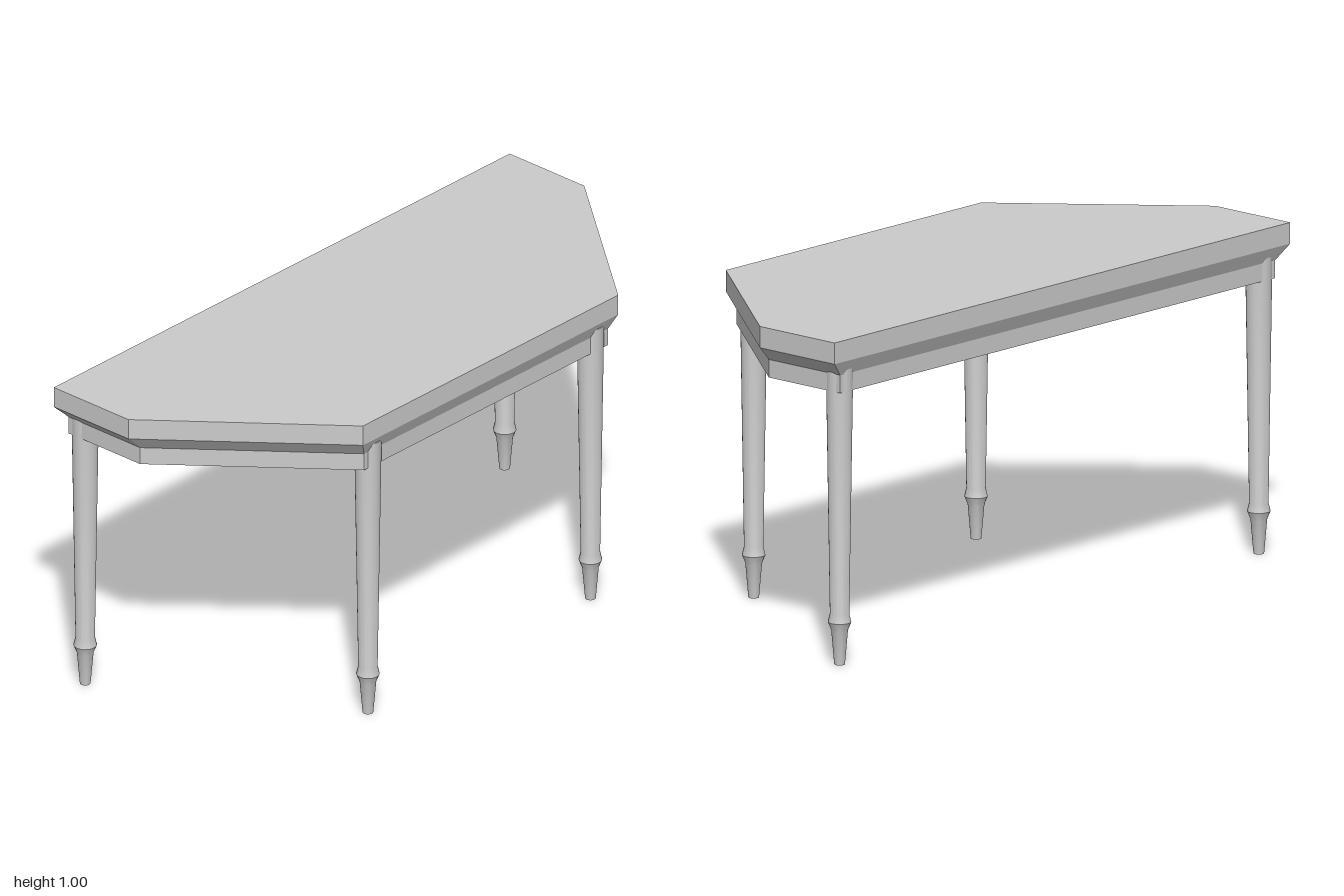
import * as THREE from 'three';
import { toCreasedNormals } from 'three/addons/utils/BufferGeometryUtils.js';

const material = new THREE.MeshStandardMaterial({ color: 0xcccccc });

// Plan outline (x, z): straight back, two angled corners, shorter front
const outline = [
  [-0.42, 1], [-0.12, 1], [0.42, 0.56],
  [0.42, -0.56], [-0.12, -1], [-0.42, -1],
];

// Closed solid from scaled copies of the outline; levels are [y, scale] from bottom to top
function stackedSolid(levels) {
  const pos = [];
  const n = outline.length;
  const point = ([y, s], i) => [outline[i % n][0] * s, y, outline[i % n][1] * s];
  for (let l = 0; l < levels.length - 1; l++) {
    for (let i = 0; i < n; i++) {
      const a = point(levels[l], i), b = point(levels[l], i + 1);
      const c = point(levels[l + 1], i + 1), d = point(levels[l + 1], i);
      pos.push(...a, ...b, ...c, ...a, ...c, ...d);
    }
  }
  const bottom = levels[0], top = levels[levels.length - 1];
  for (let i = 1; i < n - 1; i++) {
    pos.push(...point(top, 0), ...point(top, i), ...point(top, i + 1));
    pos.push(...point(bottom, 0), ...point(bottom, i + 1), ...point(bottom, i));
  }
  const geometry = new THREE.BufferGeometry();
  geometry.setAttribute('position', new THREE.Float32BufferAttribute(pos, 3));
  geometry.computeVertexNormals();
  return geometry;
}

function addMesh(parent, name, geometry) {
  const mesh = new THREE.Mesh(geometry, material);
  mesh.name = name;
  parent.add(mesh);
  return mesh;
}

export function createModel() {
  const table = new THREE.Group();
  table.name = 'sideTable';

  // Top with a straight edge, bevelled underneath into the apron
  addMesh(table, 'tabletopAndApron', stackedSolid([
    [0.84, 0.955], [0.895, 0.955], [0.94, 1], [1.005, 1],
  ]));

  // Turned leg: tapered foot, collar, then a shaft widening upwards
  const profile = [
    [0, 0], [0.016, 0], [0.025, 0.105], [0.035, 0.13],
    [0.029, 0.155], [0.041, 0.92], [0, 0.92],
  ].map(([r, y]) => new THREE.Vector2(r, y));
  const legGeometry = toCreasedNormals(new THREE.LatheGeometry(profile, 20), 0.6);

  for (const side of [1, -1]) {
    addMesh(table, 'backLeg', legGeometry).position.set(-0.367, 0, side * 0.92);
    addMesh(table, 'frontLeg', legGeometry).position.set(0.374, 0, side * 0.488);
  }
  return table;
}
